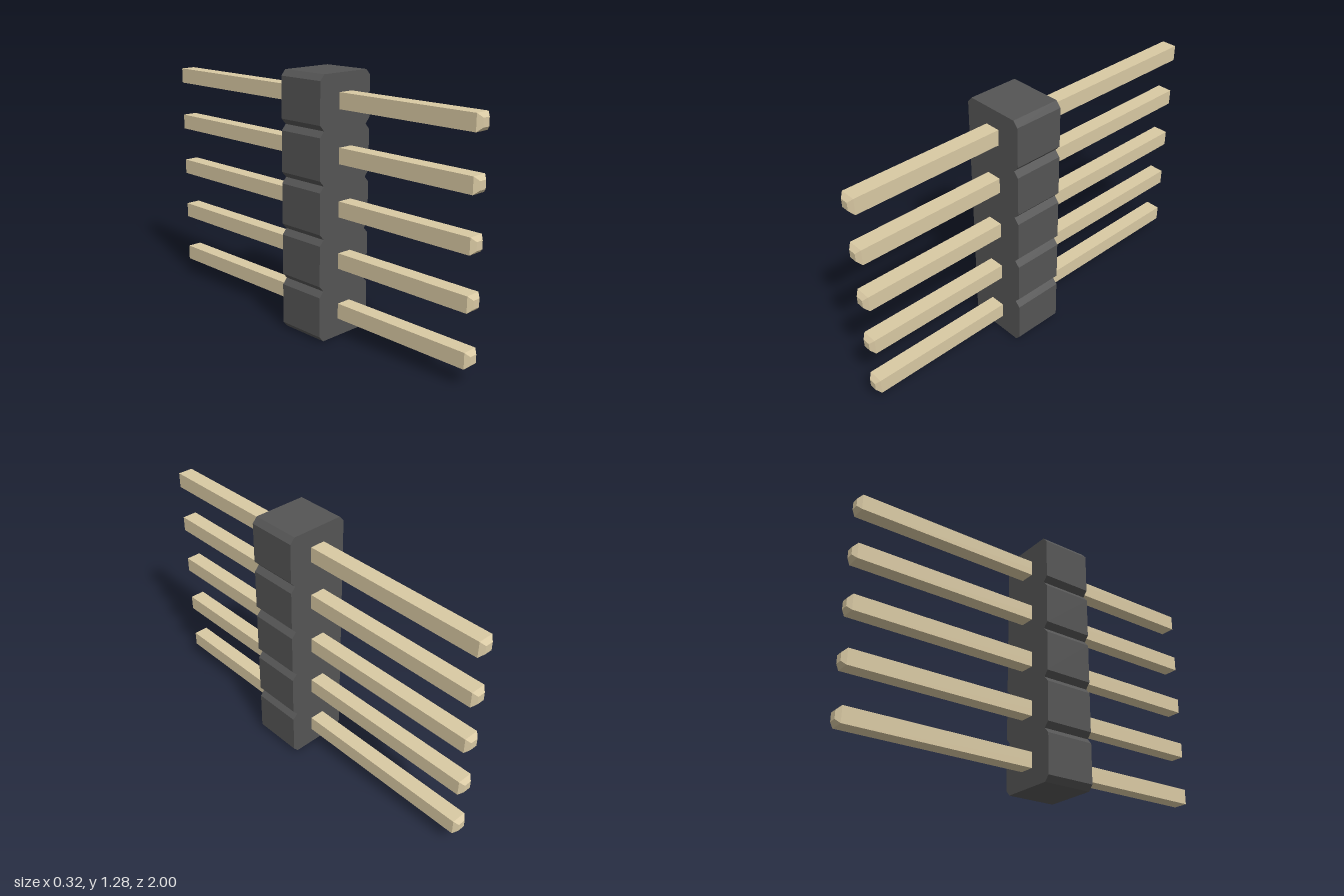
import * as THREE from 'three';

const COUNT = 5;          // number of pins
const PITCH = 0.2566;     // spacing between pins
const HALF_W = 0.162;     // half width of the housing
const CUT_X = 0.025;      // corner chamfer, across
const CUT_Y = 0.028;      // corner chamfer, along
const BACK = -0.027, FRONT = 0.23;

// Housing outline: one chamfered cell per pin, leaving V notches between them
function createHousing(material) {
  const side = [];
  for (let i = 0; i < COUNT; i++) {
    const y0 = i * PITCH, y1 = y0 + PITCH;
    side.push([HALF_W - CUT_X, y0], [HALF_W, y0 + CUT_Y], [HALF_W, y1 - CUT_Y]);
  }
  side.push([HALF_W - CUT_X, COUNT * PITCH]);
  const mirrored = side.map(([x, y]) => [-x, y]).reverse();
  const outline = [...side, ...mirrored].map(([x, y]) => new THREE.Vector2(x, y));

  const geometry = new THREE.ExtrudeGeometry(new THREE.Shape(outline), {
    depth: FRONT - BACK, bevelEnabled: false,
  });
  geometry.translate(0, 0, BACK);
  const housing = new THREE.Mesh(geometry, material);
  housing.name = 'housing';
  return housing;
}

// Square pin with a tapered tip at each end
function createPinGeometry() {
  const tip = 0.02, taper = 0.019, length = 2;
  const square = new THREE.Shape([[-1, -1], [1, -1], [1, 1], [-1, 1]]
    .map(([x, y]) => new THREE.Vector2(x * tip, y * tip)));
  const geometry = new THREE.ExtrudeGeometry(square, {
    depth: length - 2 * tip,
    bevelEnabled: true, bevelSegments: 1, bevelSize: taper, bevelThickness: tip,
  });
  geometry.translate(0, 0, -length / 2 + tip);
  return geometry;
}

export function createModel() {
  const group = new THREE.Group();
  group.name = 'pinHeader';
  const plastic = new THREE.MeshStandardMaterial({ color: 0x555555, flatShading: true });
  const metal = new THREE.MeshStandardMaterial({ color: 0xd9c9a3, flatShading: true });

  group.add(createHousing(plastic));

  const pinGeometry = createPinGeometry();
  for (let i = 0; i < COUNT; i++) {
    const pin = new THREE.Mesh(pinGeometry, metal);
    pin.name = `pin${i + 1}`;
    pin.position.y = (i + 0.5) * PITCH;
    group.add(pin);
  }
  return group;
}
